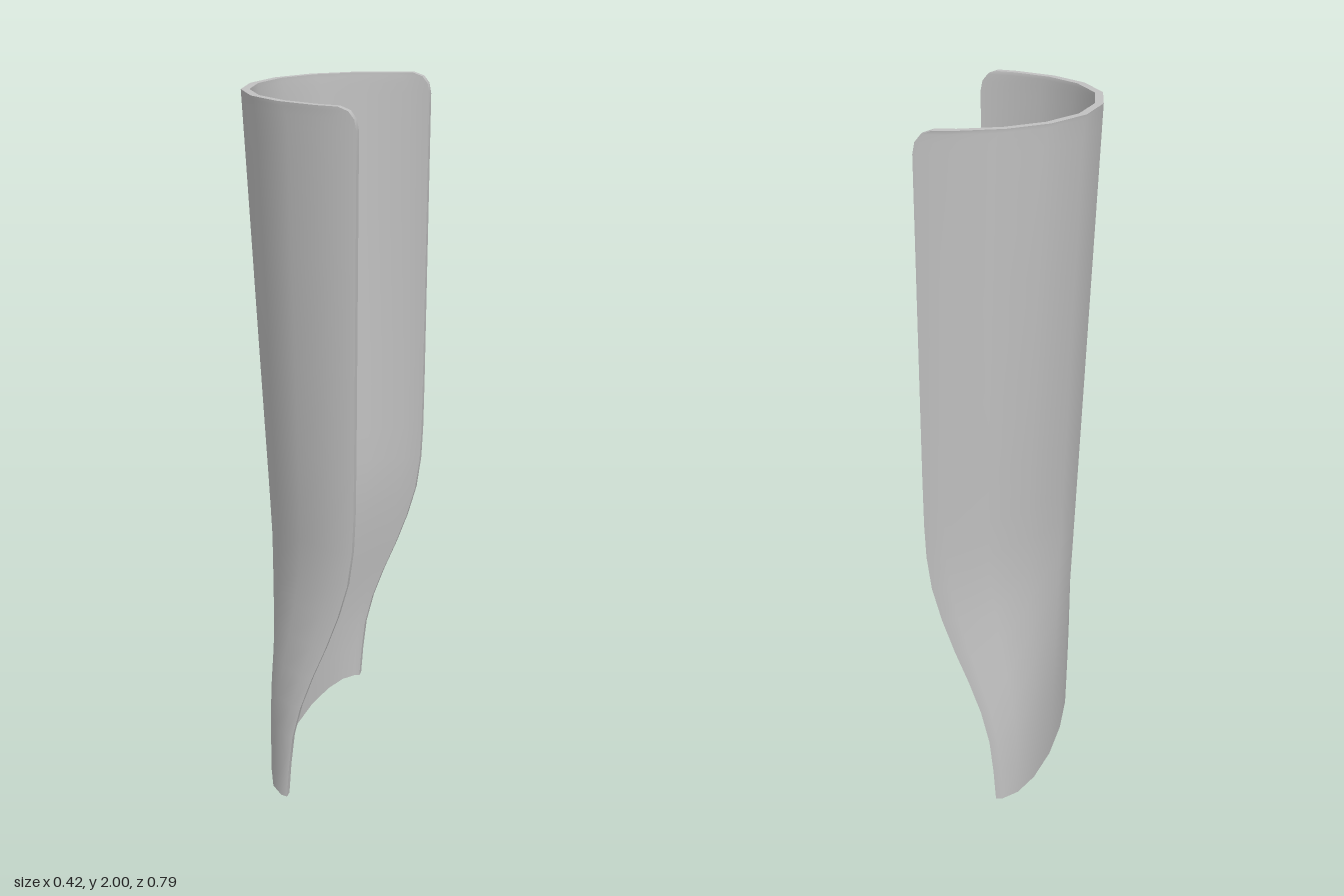
import * as THREE from 'three';

const THICK = 0.023, HALF_WIDTH = 0.396;

// Piecewise-linear lookup through [y, value] pairs
function lookup(keys, y) {
  for (let i = 1; i < keys.length; i++) {
    const [y0, a] = keys[i - 1], [y1, b] = keys[i];
    if (y <= y1) return a + (b - a) * (y - y0) / (y1 - y0);
  }
  return keys[keys.length - 1][1];
}

// Reach of the open edges at each height, and the fullness of the curve
const EDGE = [[0, 0.013], [0.1, 0.02], [0.2, 0.031], [0.3, 0.055], [0.4, 0.09], [0.5, 0.13],
  [0.6, 0.165], [0.7, 0.192], [0.8, 0.205], [0.9, 0.209], [1.05, 0.21], [2, 0.21]];
const CROP = [[1.94, 0.21], [1.97, 0.204], [1.99, 0.188], [2, 0.16]];
const FULLNESS = [[0, 0.97], [0.4, 1.12], [0.7, 1.25], [1.2, 1.1], [2, 0.93]];
const HEIGHTS = [0, 0.1, 0.2, 0.3, 0.4, 0.5, 0.6, 0.7, 0.8, 0.9, 1.05, 1.3, 1.6, 1.85, 1.94, 1.97, 1.99, 2];
const STEPS = [0, 0.23, 0.47, 0.69, 0.9, 1];

// One C-shaped cross-section, from the -z edge round the spine to the +z edge
function section(y, inset) {
  const spine = -0.11 - 0.05 * y + inset;
  const edge = lookup(EDGE, y);
  const limit = y > 1.94 ? lookup(CROP, y) : edge;
  const span = edge - spine;
  const maxAngle = Math.acos(Math.max(0, 1 - (limit - spine) / span));
  const steps = [...STEPS.slice(1).reverse().map(s => -s), ...STEPS];
  return steps.map(s => {
    const a = Math.abs(s) * maxAngle;
    const z = (HALF_WIDTH - inset) * Math.pow(Math.sin(a), lookup(FULLNESS, y));
    return new THREE.Vector3(spine + span * (1 - Math.cos(a)), y, Math.sign(s) * z);
  });
}

// Smooth surface through rows of points
function surface(rows) {
  const n = rows[0].length, index = [];
  for (let i = 0; i < rows.length - 1; i++) {
    for (let j = 0; j < n - 1; j++) {
      const a = i * n + j, b = a + 1, c = a + n, d = c + 1;
      index.push(a, b, d, a, d, c);
    }
  }
  const geometry = new THREE.BufferGeometry().setFromPoints(rows.flat());
  geometry.setIndex(index);
  geometry.computeVertexNormals();
  return geometry;
}

export function createModel() {
  const group = new THREE.Group();
  group.name = 'curvedGuard';
  const grey = new THREE.MeshStandardMaterial({ color: 0xc0c0c0 });
  grey.name = 'light grey';

  const outer = HEIGHTS.map(y => section(y, 0));
  const inner = HEIGHTS.map(y => section(y, THICK));
  const last = outer[0].length - 1, top = HEIGHTS.length - 1;

  const add = (name, rows) => {
    const mesh = new THREE.Mesh(surface(rows), grey);
    mesh.name = name;
    group.add(mesh);
  };
  // Shell faces
  add('outerShell', outer);
  add('innerShell', inner.map(row => [...row].reverse()));
  // Narrow faces along the open edges and both ends
  add('leftEdge', outer.map((row, i) => [row[last], inner[i][last]]));
  add('rightEdge', outer.map((row, i) => [inner[i][0], row[0]]));
  add('topRim', [outer[top], inner[top]]);
  add('bottomRim', [inner[0], outer[0]]);
  return group;
}
